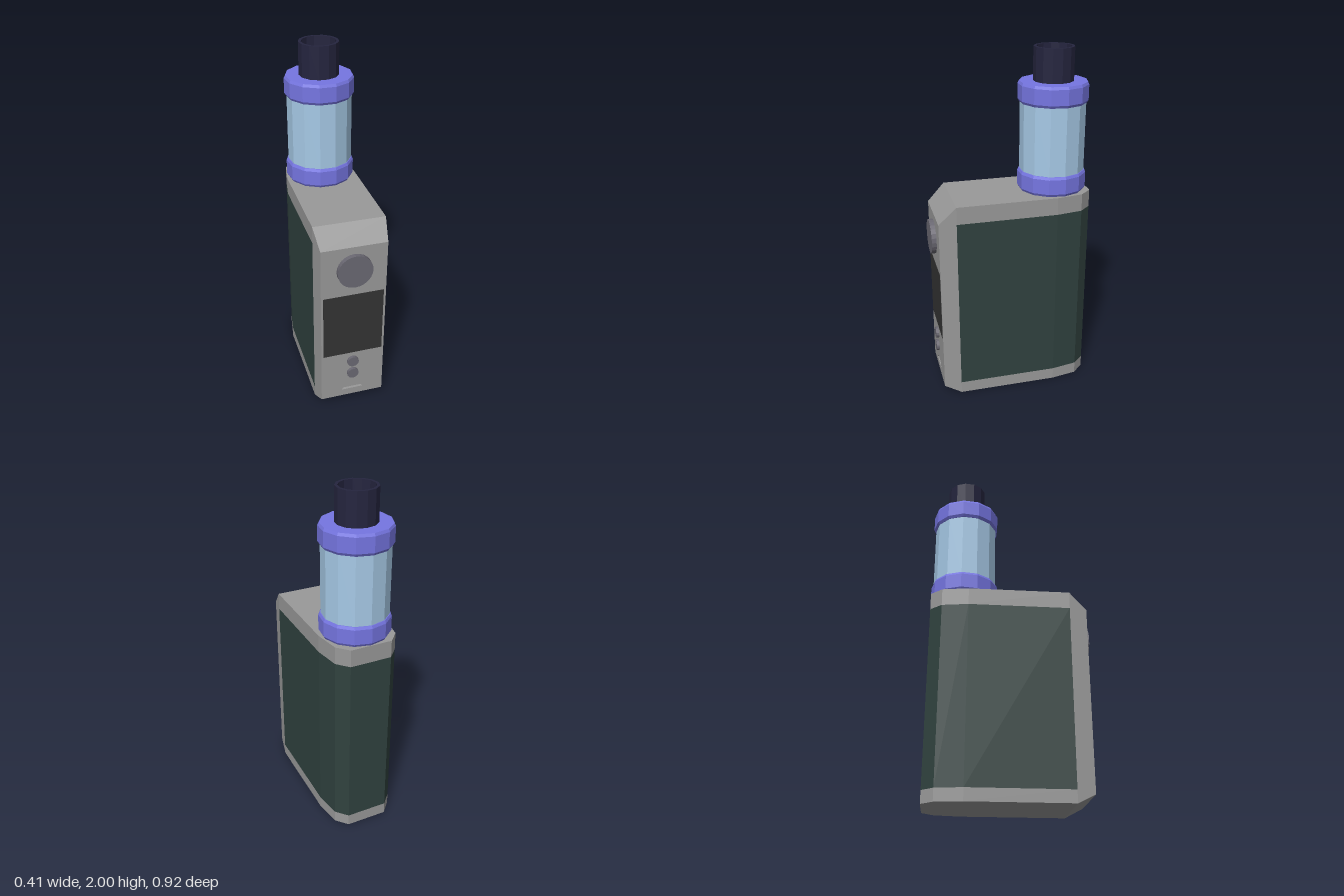
import * as THREE from 'three';

const mat = (color) => new THREE.MeshStandardMaterial({ color, flatShading: true });
const grey = mat(0x999999);
const panelMat = mat(0x30423f);
const screenMat = mat(0x333333);
const buttonMat = mat(0x6a6872);
const metalMat = mat(0x7676e2);
const glassMat = mat(0xa6c9e6);
const tipMat = mat(0x25253f);

// Flat-shaded band of quads between two matching loops of points
function band(a, b, closed = false) {
  const pos = [];
  const n = closed ? a.length : a.length - 1;
  for (let i = 0; i < n; i++) {
    const j = (i + 1) % a.length;
    pos.push(...a[i], ...a[j], ...b[j], ...a[i], ...b[j], ...b[i]);
  }
  const g = new THREE.BufferGeometry();
  g.setAttribute('position', new THREE.Float32BufferAttribute(pos, 3));
  g.computeVertexNormals();
  return g;
}

const shapeOf = (pts) => new THREE.Shape(pts.map(([x, y]) => new THREE.Vector2(x, y)));

function add(parent, name, geometry, material) {
  const mesh = new THREE.Mesh(geometry, material);
  mesh.name = name;
  parent.add(mesh);
  return mesh;
}

export function createModel() {
  const model = new THREE.Group();
  model.name = 'vaporizer';

  // Box footprint (x, z), from the left front corner around the back
  const half = [[0.205, 0.335], [0.205, -0.24], [0.18, -0.39], [0.12, -0.455]];
  const outline = [...half, ...half.map(([x, z]) => [-x, z]).reverse()];
  const ring = (y) => outline.map(([x, z]) => [x, y, z]);

  const body = new THREE.Group();
  body.name = 'body';
  model.add(body);
  add(body, 'lowerBand', band(ring(0), ring(0.07)), grey);
  add(body, 'sidePanel', band(ring(0.07), ring(1.1)), panelMat);
  add(body, 'upperBand', band(ring(1.1), ring(1.2)), grey);
  const top = new THREE.ShapeGeometry(shapeOf(outline.map(([x, z]) => [x, -z])));
  add(body, 'topFace', top.rotateX(-Math.PI / 2).translate(0, 1.2, 0), grey);
  const bottom = new THREE.ShapeGeometry(shapeOf(outline));
  add(body, 'bottomFace', bottom.rotateX(Math.PI / 2), grey);

  // Tapered front frame
  const rect = (w, y0, y1) => [[-w, y0], [w, y0], [w, y1], [-w, y1]];
  const atZ = (pts, z) => pts.map(([x, y]) => [x, y, z]);
  const face = rect(0.188, 0.05, 1.1);
  add(body, 'frontBevel', band(atZ(rect(0.205, 0, 1.2), 0.335), atZ(face, 0.433), true), grey);

  // Front face with the charging port sunk into it
  const port = [[-0.065, 0.095], [0.065, 0.095], [0.042, 0.125], [-0.042, 0.125]];
  const front = shapeOf(face);
  front.holes.push(shapeOf(port));
  add(body, 'frontFace', new THREE.ShapeGeometry(front).translate(0, 0, 0.433), grey);
  add(body, 'portWall', band(atZ(port, 0.433), atZ(port, 0.418), true), grey);
  add(body, 'portFloor', new THREE.ShapeGeometry(shapeOf(port)).translate(0, 0, 0.418), grey);

  // Screen and buttons
  add(model, 'screen', new THREE.BoxGeometry(0.35, 0.415, 0.01), screenMat).position.set(0, 0.583, 0.43);
  const buttons = [['fireButton', 0.1, 0.957, 0.46, 24], ['upButton', 0.034, 0.314, 0.45, 16], ['downButton', 0.034, 0.225, 0.45, 16]];
  for (const [name, r, y, z, sides] of buttons) {
    const g = new THREE.CylinderGeometry(r, r, z - 0.425, sides).rotateX(Math.PI / 2);
    add(model, name, g, buttonMat).position.set(0, y, (z + 0.425) / 2);
  }

  // Tank: thirteen-sided turned parts
  const tank = new THREE.Group();
  tank.name = 'tank';
  tank.position.z = -0.262;
  model.add(tank);
  const turn = (name, profile, material) => add(tank, name,
    new THREE.LatheGeometry(profile.map(([r, y]) => new THREE.Vector2(r, y)), 13, Math.PI), material);
  const collar = (y0, y1) => [[0, y0], [0.188, y0], [0.197, y0 + 0.015], [0.197, y1 - 0.015], [0.19, y1], [0, y1]];
  turn('baseRing', collar(1.2, 1.315), metalMat);
  turn('glass', [[0.185, 1.31], [0.185, 1.705]], glassMat);
  turn('topRing', collar(1.7, 1.815), metalMat);
  turn('mouthpiece', [[0.113, 1.81], [0.113, 2], [0.097, 2], [0.097, 1.81]], tipMat);

  return model;
}
